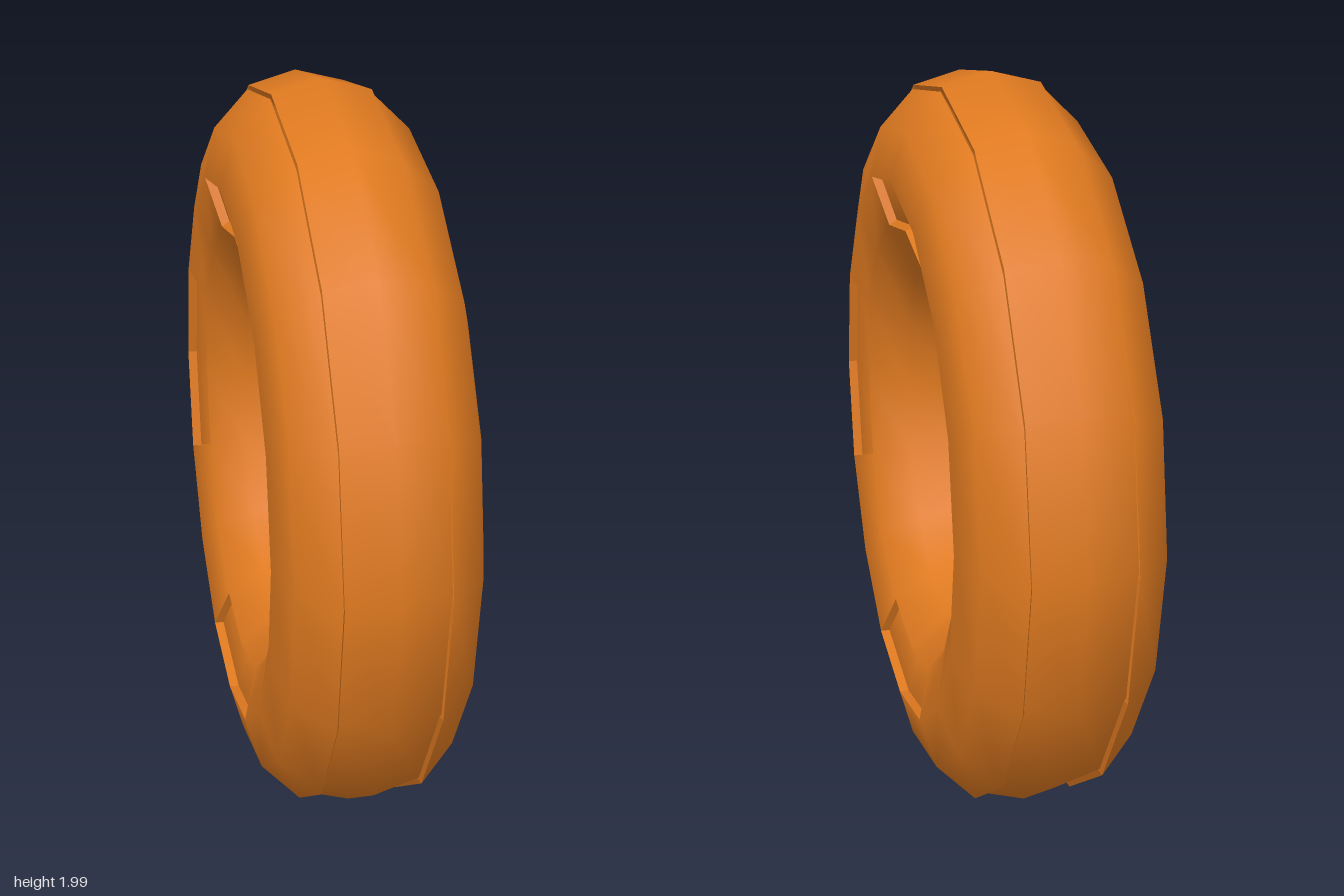
import * as THREE from 'three';

const SEGS = 16, SIDES = 12;      // around the ring, around the tube
const RY = 0.737, RZ = 0.712, TUBE = 0.265;
const BODY_Y = 0.988, BAND_Y = 1.004;
const DEPTH = 0.025;

// Tube direction at ring step i and side step j
function normalAt(i, j) {
  const u = (i / SEGS) * Math.PI * 2, v = (j / SIDES) * Math.PI * 2;
  return new THREE.Vector3(Math.sin(v), Math.cos(v) * Math.cos(u), Math.cos(v) * Math.sin(u));
}

// Point on the slightly oval ring, sunk towards the tube's core by "sink"
function pointAt(i, j, sink, cy) {
  const u = (i / SEGS) * Math.PI * 2;
  return new THREE.Vector3(0, cy + RY * Math.cos(u), RZ * Math.sin(u))
    .addScaledVector(normalAt(i, j), TUBE - sink);
}

// Smooth patch of the ring; cells rejected by "keep" are left open
function skin(i0, i1, j0, j1, sink, cy, keep = () => true) {
  const pos = [], nor = [], idx = [], w = j1 - j0 + 1;
  for (let i = i0; i <= i1; i++) {
    for (let j = j0; j <= j1; j++) {
      pos.push(...pointAt(i, j, sink, cy).toArray());
      nor.push(...normalAt(i, j).toArray());
      if (i === i1 || j === j1 || !keep(i, j)) continue;
      const a = (i - i0) * w + (j - j0), b = a + w;
      idx.push(a, b, b + 1, a, b + 1, a + 1);
    }
  }
  const g = new THREE.BufferGeometry();
  g.setAttribute('position', new THREE.Float32BufferAttribute(pos, 3));
  g.setAttribute('normal', new THREE.Float32BufferAttribute(nor, 3));
  g.setIndex(idx);
  return g;
}

// Flat walls dropping from a path of [i, j] steps into the tube
function walls(path, top, bottom, cy) {
  const pos = [];
  for (let k = 0; k + 1 < path.length; k++) {
    const [a, b] = [path[k], path[k + 1]].map(([i, j]) => pointAt(i, j, top, cy));
    const [c, d] = [path[k + 1], path[k]].map(([i, j]) => pointAt(i, j, bottom, cy));
    for (const p of [a, b, c, a, c, d]) pos.push(...p.toArray());
  }
  const g = new THREE.BufferGeometry();
  g.setAttribute('position', new THREE.Float32BufferAttribute(pos, 3));
  g.computeVertexNormals();
  return g;
}

export function createModel() {
  const root = new THREE.Group();
  root.name = 'ring';
  const orange = new THREE.MeshStandardMaterial({ color: 0xe07a20, side: THREE.DoubleSide });
  const add = (name, geometry) => {
    const m = new THREE.Mesh(geometry, orange);
    m.name = name;
    root.add(m);
  };
  const loop = (j) => Array.from({ length: SEGS + 1 }, (_, i) => [i, j]);

  // Ring body, open under the outer band and at the eight recesses
  const isRecess = (i, j) => (j === 3 || j === 8) && (i % 4 === 0 || i % 4 === 3);
  add('ringBody', skin(0, SEGS, 1, SIDES - 1, 0, BODY_Y, (i, j) => !isRecess(i, j)));

  // Separate band around the outside, sitting slightly high
  add('outerBand', skin(0, SEGS, -1, 1, 0.005, BAND_Y));

  // Seams between body and band
  for (const j of [-1, 1]) {
    add('bodySeam', walls(loop(j), 0, 0.06, BODY_Y));
    add('bandSeam', walls(loop(j), 0.005, 0.06, BAND_Y));
  }

  // Four recessed panels on each side
  for (const j of [3, 8]) {
    for (let q = 0; q < 4; q++) {
      const i = q * 4;
      add('recessPanel', skin(i - 1, i + 1, j, j + 1, DEPTH, BODY_Y));
      const rim = [[i - 1, j], [i, j], [i + 1, j], [i + 1, j + 1], [i, j + 1], [i - 1, j + 1], [i - 1, j]];
      add('recessWall', walls(rim, 0, DEPTH, BODY_Y));
    }
  }
  return root;
}
